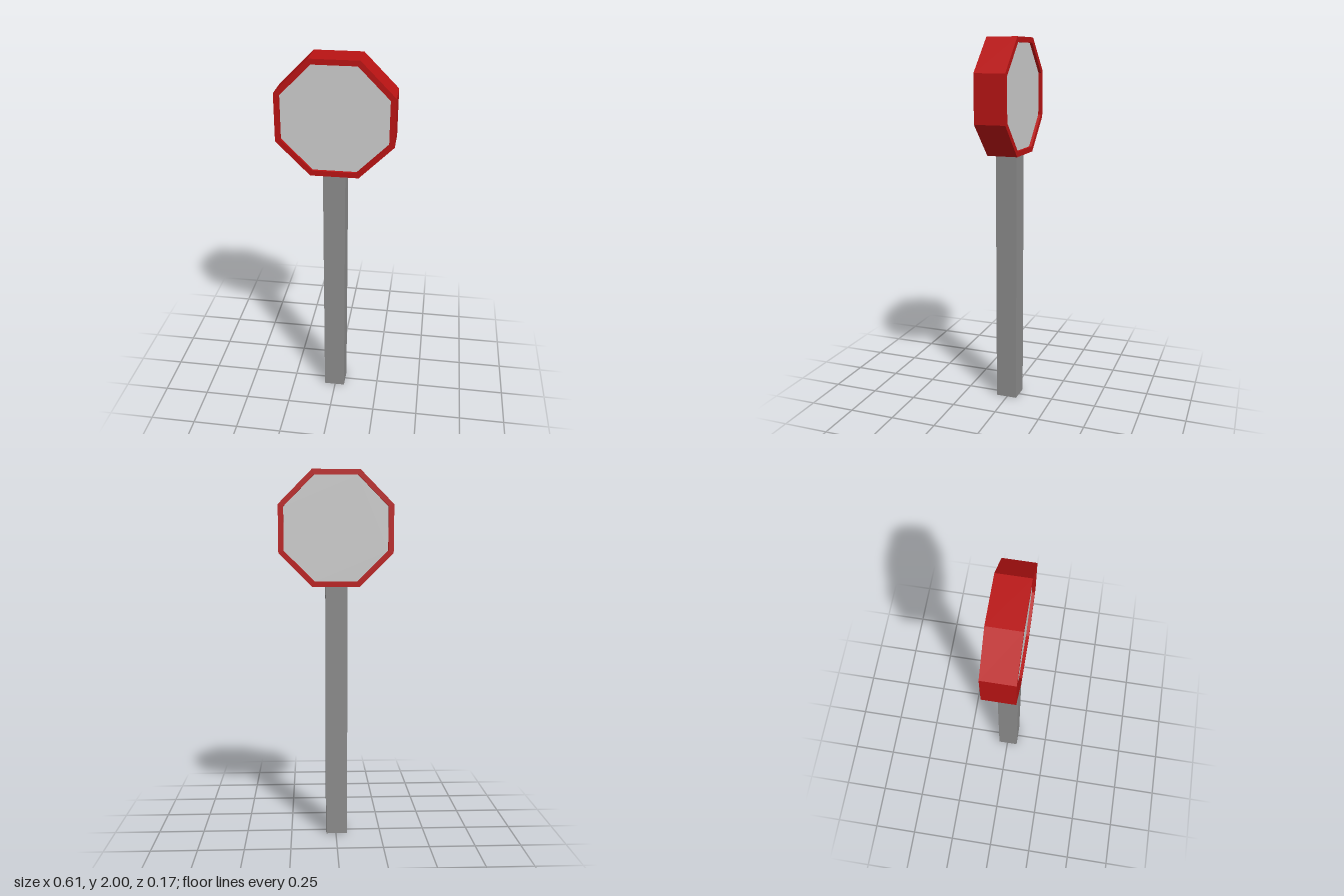
import * as THREE from 'three';

const SIGN_Y = 1.697;

// Corners of an upright octagon with flat top, given its centre-to-side distance
function octagon(apothem) {
  const r = apothem / Math.cos(Math.PI / 8);
  return Array.from({ length: 8 }, (_, i) => {
    const a = (i + 0.5) * Math.PI / 4;
    return new THREE.Vector2(r * Math.cos(a), r * Math.sin(a));
  });
}

// Extrude a shape so that it is centred on z = 0
function slab(shape, depth) {
  const geometry = new THREE.ExtrudeGeometry(shape, { depth, bevelEnabled: false });
  return geometry.translate(0, SIGN_Y, -depth / 2);
}

export function createModel() {
  const group = new THREE.Group();
  const add = (name, geometry, color) => {
    const material = new THREE.MeshStandardMaterial({ color, flatShading: true });
    const mesh = new THREE.Mesh(geometry, material);
    mesh.name = name;
    group.add(mesh);
    return mesh;
  };

  // Square post, slightly off centre
  const post = add('post', new THREE.BoxGeometry(0.117, 1.4, 0.117), 0x8b8b8b);
  post.position.set(-0.004, 0.7, 0.004);

  // Octagonal red rim
  const rim = new THREE.Shape(octagon(0.303));
  rim.holes.push(new THREE.Path(octagon(0.275).reverse()));
  add('rim', slab(rim, 0.166), 0xb91313);

  // Sign plate, recessed inside the rim on both sides
  add('signPlate', slab(new THREE.Shape(octagon(0.275)), 0.136), 0xcccccc);

  return group;
}
